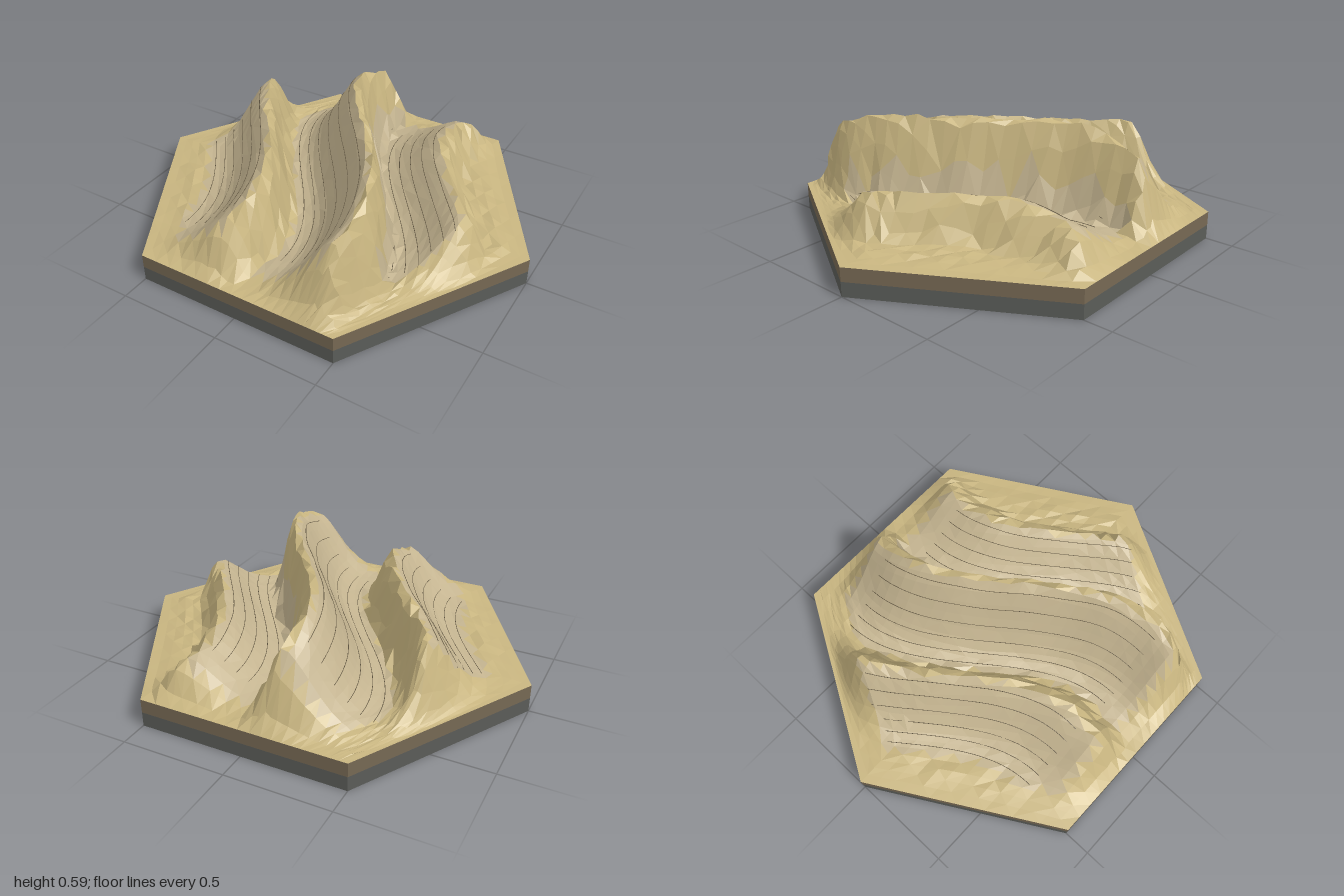
import * as THREE from 'three';

const FLOOR = 0.137, HALF = 0.866;
// Crest position at z = 0 and height above the floor
const RIDGES = [
  { name: 'leftRidge', x: -0.39, h: 0.295 },
  { name: 'middleRidge', x: 0.15, h: 0.42 },
  { name: 'rightRidge', x: 0.63, h: 0.195 },
];
const WINDWARD = 0.42, LEE = 0.135;

const noise = (a, b) => {
  const s = Math.sin(a * 127.1 + b * 311.7) * 43758.5453;
  return (s - Math.floor(s)) * 2 - 1;
};
const smooth = (t) => { t = Math.min(1, Math.max(0, t)); return t * t * (3 - 2 * t); };
const halfWidth = (z) => 1 - Math.abs(z) / Math.sqrt(3);
const bend = (z) => 0.28 * Math.sin(2.7 * z);
const edgeDistance = (x, z) =>
  Math.min(HALF - Math.abs(z), (halfWidth(z) - Math.abs(x)) * HALF);

// Height of one ridge: long curved rise on the left, steep gullied drop on the right
function ridgeHeight(r, x, z) {
  const d = x - r.x - bend(z);
  const lee = LEE + 0.014 * Math.sin(23 * z + 9 * r.x) + 0.01 * Math.sin(41 * z + 5 * r.x);
  const t = d < 0 ? smooth(Math.pow(Math.max(0, 1 + d / WINDWARD), 1.55)) : smooth(1 - d / lee);
  const taper = 1 - 0.27 * smooth((Math.abs(z) - 0.35) / 0.4);
  return r.h * taper * t * (1 + 0.015 * Math.sin(17 * z + 8 * x));
}

function groundHeight(x, z) {
  const ridge = Math.max(...RIDGES.map((r) => ridgeHeight(r, x, z)));
  const fade = smooth((edgeDistance(x, z) - 0.01) / 0.165);
  return FLOOR + fade * (0.02 + ridge);
}

// Is the point on a windward slope, and on a steep lee face?
const offsets = (x, z) => RIDGES.map((r) => x - r.x - bend(z));
const onWindward = (x, z) => edgeDistance(x, z) > 0.15 &&
  offsets(x, z).some((d) => d > -0.4 && d < -0.02);
const onLee = (x, z) => offsets(x, z).some((d) => d > -0.03 && d < LEE);

// Faceted terrain over the hexagon, its columns following the bend of the ridges
function terrain(group) {
  const ROWS = 30, COLS = 44, W = COLS + 1;
  const pos = [];
  for (let i = 0; i <= ROWS; i++) {
    for (let j = 0; j <= COLS; j++) {
      const border = i === 0 || j === 0 || i === ROWS || j === COLS;
      const u = (2 * j) / COLS - 1;
      let z = -HALF + (2 * HALF * i) / ROWS;
      const x = halfWidth(z) * u + bend(z) * (1 - u * u);
      let y = FLOOR;
      if (!border) {
        const lee = onLee(x, z);
        if (lee) z += 0.01 * noise(j, i + 19);
        const fade = smooth(edgeDistance(x, z) / 0.15);
        const rough = lee ? 0.012 : onWindward(x, z) ? 0.002 : 0.008;
        y = Math.max(FLOOR, groundHeight(x, z) + fade * rough * noise(j + 7, i + 3));
      }
      pos.push(x, y, z);
    }
  }
  // Sort the triangles into sand and windward slopes
  const faces = { sand: [], windwardSlopes: [] };
  const add = (...tri) => {
    const x = tri.reduce((s, v) => s + pos[v * 3], 0) / 3;
    const z = tri.reduce((s, v) => s + pos[v * 3 + 2], 0) / 3;
    faces[onWindward(x, z) ? 'windwardSlopes' : 'sand'].push(...tri);
  };
  for (let i = 0; i < ROWS; i++) {
    for (let j = 0; j < COLS; j++) {
      const a = i * W + j, b = a + W;
      if ((i + j) % 2) { add(a, b, a + 1); add(a + 1, b, b + 1); }
      else { add(a, b, b + 1); add(a, b + 1, a + 1); }
    }
  }
  const colors = { sand: 0xc8b580, windwardSlopes: 0xc4b490 };
  for (const name in faces) {
    const geo = new THREE.BufferGeometry();
    geo.setAttribute('position', new THREE.Float32BufferAttribute(pos, 3));
    geo.setIndex(faces[name]);
    geo.computeVertexNormals();
    const mesh = new THREE.Mesh(geo,
      new THREE.MeshStandardMaterial({ color: colors[name], flatShading: true }));
    mesh.name = name;
    group.add(mesh);
  }
}

// Hair-thin dark lines running along each windward slope
function strataLines(group) {
  const material = new THREE.MeshStandardMaterial({ color: 0x6b5f48 });
  for (const r of RIDGES) {
    const lines = new THREE.Group();
    lines.name = r.name + 'Lines';
    for (let k = 0; k < 6; k++) {
      const points = [];
      for (let z = -0.6; z <= 0.601; z += 0.04) {
        const x = r.x + bend(z) - 0.36 + k * 0.06;
        if (edgeDistance(x, z) > 0.14) points.push(new THREE.Vector3(x, groundHeight(x, z) + 0.002, z));
      }
      if (points.length < 3) continue;
      const curve = new THREE.CatmullRomCurve3(points);
      const line = new THREE.Mesh(new THREE.TubeGeometry(curve, points.length * 2, 0.0015, 4), material);
      line.name = 'strataLine';
      lines.add(line);
    }
    group.add(lines);
  }
}

// Hexagonal slab with corners on the x axis
function slab(name, y0, y1, color, open) {
  const geo = new THREE.CylinderGeometry(1, 1, y1 - y0, 6, 1, open, Math.PI / 2);
  const mesh = new THREE.Mesh(geo, new THREE.MeshStandardMaterial({ color, flatShading: true }));
  mesh.position.y = (y0 + y1) / 2;
  mesh.name = name;
  return mesh;
}

export function createModel() {
  const model = new THREE.Group();
  model.name = 'ridgeTile';
  model.add(slab('stoneLayer', 0, 0.07, 0x5a5c58, false));
  model.add(slab('earthLayer', 0.07, FLOOR, 0x766853, true));
  terrain(model);
  strataLines(model);
  return model;
}
